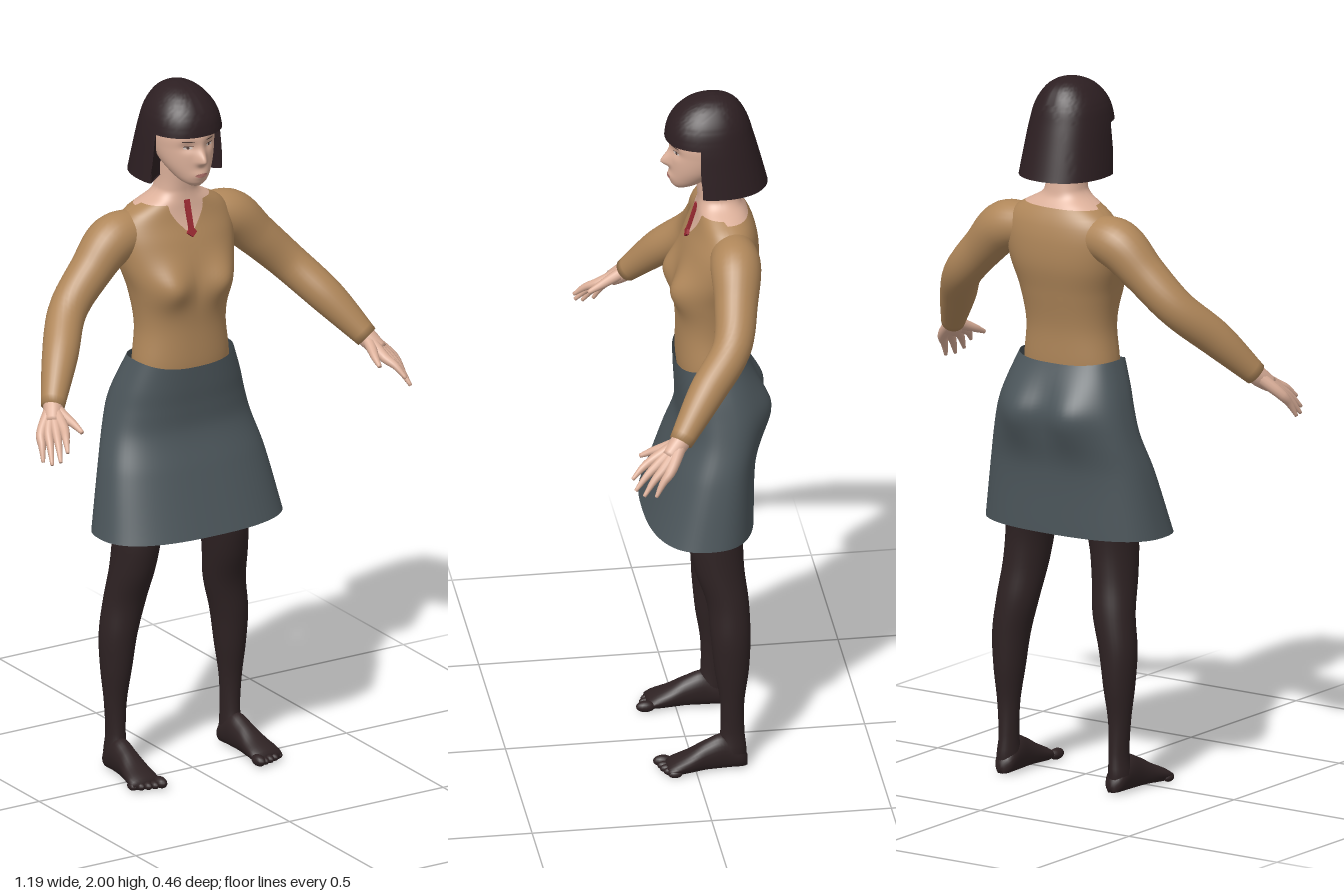
import * as THREE from 'three';
import { toCreasedNormals } from 'three/addons/utils/BufferGeometryUtils.js';

const mat = (name, color, side = THREE.FrontSide) => {
  const m = new THREE.MeshStandardMaterial({ color, side });
  m.name = name;
  return m;
};
const gauss = (d, s) => Math.exp(-(d * d) / (2 * s * s));
const range = (n, f) => Array.from({ length: n }, (_, i) => f(i));

// Smooth interpolation of table rows, keyed by their first column
function sample(rows, k) {
  let i = 0;
  while (i < rows.length - 2 && k > rows[i + 1][0]) i++;
  const a = rows[i], b = rows[i + 1], h = b[0] - a[0];
  const t = THREE.MathUtils.clamp((k - a[0]) / h, 0, 1);
  const p = rows[Math.max(i - 1, 0)], q = rows[Math.min(i + 2, rows.length - 1)];
  const t2 = t * t, t3 = t2 * t;
  return a.map((v, c) => {
    const m0 = (b[c] - p[c]) / (b[0] - p[0]) * h, m1 = (q[c] - v) / (q[0] - a[0]) * h;
    return (2 * t3 - 3 * t2 + 1) * v + (t3 - 2 * t2 + t) * m0 + (3 * t2 - 2 * t3) * b[c] + (t3 - t2) * m1;
  });
}

// Skin a list of closed rings (arrays of Vector3)
function loft(rings, caps = true) {
  const n = rings[0].length, pos = [], idx = [];
  rings.flat().forEach(p => pos.push(p.x, p.y, p.z));
  for (let i = 0; i < rings.length - 1; i++) for (let j = 0; j < n; j++) {
    const a = i * n + j, b = i * n + (j + 1) % n;
    idx.push(a, a + n, b, b, a + n, b + n);
  }
  if (caps) [0, rings.length - 1].forEach((r, end) => {
    const c = rings[r].reduce((s, p) => s.add(p), new THREE.Vector3()).divideScalar(n);
    const k = pos.length / 3;
    pos.push(c.x, c.y, c.z);
    for (let j = 0; j < n; j++) {
      const a = r * n + j, b = r * n + (j + 1) % n;
      idx.push(k, end ? b : a, end ? a : b);
    }
  });
  const g = new THREE.BufferGeometry();
  g.setAttribute('position', new THREE.Float32BufferAttribute(pos, 3));
  g.setIndex(idx);
  g.computeVertexNormals();
  return g;
}

// Point on a body section: row = [y, half width, front z, back z, centre x]
function bodyPoint(rows, y, th, e = 2, bump = null) {
  const [, rx, zf, zb, xc = 0] = sample(rows, y);
  const pw = v => Math.sign(v) * Math.abs(v) ** (2 / e);
  const x = rx * pw(Math.cos(th)), s = Math.sin(th);
  let z = (zf + zb) / 2 + (zf - zb) / 2 * pw(s);
  if (bump) z += bump(x, y, s);
  return new THREE.Vector3(xc + x, y, z);
}
function body(rows, { y0 = () => rows[0][0], y1 = () => rows.at(-1)[0], n = 64, steps = 40, e = 2, bump = null, caps = true } = {}) {
  return loft(range(steps + 1, i => range(n, j => {
    const th = j / n * Math.PI * 2;
    return bodyPoint(rows, THREE.MathUtils.lerp(y0(th), y1(th), i / steps), th, e, bump);
  })), caps);
}

// Round limb through points [x, y, z, radius]
function limb(pts, n = 20, steps = 24) {
  const curve = new THREE.CatmullRomCurve3(pts.map(p => new THREE.Vector3(...p)));
  const tangents = range(steps + 1, i => curve.getTangent(i / steps));
  const side = new THREE.Vector3(0, 0, 1).cross(tangents[0]).normalize();
  return loft(range(steps + 1, i => {
    const t = i / steps, c = curve.getPoint(t), T = tangents[i];
    const N = side.clone().addScaledVector(T, -side.dot(T)).normalize();
    const B = T.clone().cross(N);
    const r = sample(pts.map((p, k) => [k / (pts.length - 1), p[3]]), t)[1];
    return range(n, j => {
      const a = j / n * Math.PI * 2;
      return c.clone().addScaledVector(N, r * Math.cos(a)).addScaledVector(B, -r * Math.sin(a));
    });
  }));
}

const TORSO = [[1.15, .143, .02, -.15], [1.2, .143, .025, -.155], [1.3, .133, .025, -.16], [1.4, .147, .03, -.18],
  [1.48, .170, .02, -.198], [1.55, .178, 0, -.2], [1.6, .168, -.02, -.192], [1.63, .143, -.028, -.18],
  [1.65, .108, -.031, -.168], [1.67, .072, -.034, -.155], [1.69, .057, -.035, -.15], [1.77, .052, -.025, -.14]];
const SKIRT = [[.72, .285, .12, -.18], [.9, .25, .06, -.185], [1.0, .222, .026, -.2], [1.07, .203, .024, -.205],
  [1.13, .185, .028, -.19], [1.215, .153, .032, -.16]];
const LEG = [[.01, .026, -.065, -.138, .187], [.05, .03, -.06, -.143, .188], [.1, .026, -.07, -.138, .186],
  [.2, .031, -.07, -.137, .187], [.3, .043, -.055, -.15, .185], [.4, .053, -.045, -.155, .18], [.5, .06, -.036, -.153, .162],
  [.6, .062, -.004, -.142, .15], [.7, .066, .012, -.142, .14], [.98, .09, .0, -.18, .1]];
const HEAD = [[1.722, .018, .03, -.01], [1.735, .038, .04, -.04], [1.76, .058, .043, -.08], [1.79, .074, .043, -.12],
  [1.83, .084, .042, -.15], [1.87, .086, .042, -.16], [1.93, .07, .015, -.14]];
const HAIR = [[1.73, .125, .05, -.228], [1.8, .118, .055, -.21], [1.88, .108, .056, -.188], [1.93, .094, .042, -.172],
  [1.97, .066, .008, -.148], [1.99, .038, -.03, -.12], [2.0, .004, -.074, -.084]];
const FOOT = [[-.145, .186, .012, .035], [-.13, .186, .028, .06], [-.08, .188, .032, .1], [-.03, .191, .034, .085],
  [.02, .195, .042, .058], [.06, .198, .047, .04], [.08, .199, .042, .028]];

// Surface relief
const bust = (x, y, s) => s > 0 ? .034 * gauss(Math.abs(x) - .085, .04) * gauss(y - 1.43, .04) : 0;
const seat = (x, y, s) => s < 0 ? -.028 * gauss(Math.abs(x) - .085, .05) * gauss(y - 1.06, .06) : 0;
const features = (x, y, s) => s <= 0 ? 0
  : .026 * gauss(x, .010) * gauss(y - 1.8, y > 1.8 ? .02 : .009)
  - .008 * gauss(Math.abs(x) - .034, .014) * gauss(y - 1.84, .011)
  + .006 * gauss(x, .018) * gauss(y - 1.757, .009);
const faceZ = (x, y) => {
  const [, rx, zf, zb] = sample(HEAD, y);
  return (zf + zb) / 2 + (zf - zb) / 2 * Math.sqrt(1 - (x / rx) ** 2) + features(x, y, 1);
};
// Neckline: wide on the shoulders with a narrow notch in front
const neckline = th => 1.652 - (Math.sin(th) > 0 ? .085 * Math.max(0, 1 - Math.abs(Math.cos(th)) / .5) ** 1.4 : .008);

export function createModel() {
  const model = new THREE.Group();
  const M = {
    sweater: mat('sweater tan', 0xb0875a), skirt: mat('skirt grey', 0x4c565b, THREE.DoubleSide),
    tights: mat('tights dark', 0x2e2223), hair: mat('hair dark brown', 0x2d1f22), skin: mat('skin', 0xdcb09a),
    tie: mat('tie red', 0x9c2a33), lips: mat('lips', 0xb87870), white: mat('eye white', 0xd8ccc6), brow: mat('iris and brow', 0x54403a),
  };
  const add = (name, geo, material, parent = model) => {
    const m = new THREE.Mesh(geo, material);
    m.name = name;
    parent.add(m);
    return m;
  };

  // Torso, split along the neckline
  add('sweater', body(TORSO, { y1: neckline, n: 96, e: 2.3, bump: bust, caps: false }), M.sweater);
  add('neck', body(TORSO, { y0: neckline, n: 96, e: 2.3, bump: bust, caps: false }), M.skin);

  // Tie hanging in the notch
  const tieShape = new THREE.Shape([[-.008, .05], [-.007, -.03], [-.015, -.042], [0, -.055], [.015, -.042], [.007, -.03], [.008, .05]]
    .map(p => new THREE.Vector2(...p)).reverse());
  const tie = add('tie', new THREE.ExtrudeGeometry(tieShape, { depth: .008, bevelEnabled: false }), M.tie);
  tie.position.set(0, 1.612, -.021);
  tie.rotation.x = -.3;

  // Skirt and hips
  add('skirt', body(SKIRT, { y1: th => 1.19 + .022 * Math.cos(th) ** 2 + (Math.sin(th) < 0 ? .012 * Math.sin(th) ** 2 : 0),
    e: 2.5, bump: seat, caps: false }), M.skirt);
  add('hips', new THREE.SphereGeometry(1, 32, 16).scale(.16, .13, .085).translate(0, 1.03, -.09), M.tights);

  // Head and face
  add('head', body(HEAD, { n: 128, steps: 80, bump: features }), M.skin);
  const patch = (name, x, y, w, h, material, lift = .0015) => {
    const g = new THREE.CircleGeometry(1, 20).scale(w, h, 1).translate(x, y, 0), p = g.attributes.position;
    for (let i = 0; i < p.count; i++) p.setZ(i, faceZ(p.getX(i), p.getY(i)) + lift);
    g.computeVertexNormals();
    add(name, g, material);
  };
  for (const s of [-1, 1]) {
    patch('eye', s * .034, 1.838, .012, .004, M.white);
    patch('iris', s * .034, 1.838, .004, .004, M.brow, .0025);
    patch('eyelid', s * .034, 1.8425, .014, .0014, M.brow, .0025);
    patch('eyebrow', s * .035, 1.857, .017, .002, M.brow);
  }
  patch('lips', 0, 1.757, .019, .006, M.lips);

  // Bob hair: full crown with a fringe, open in front of the face below it
  const hairRing = (y, open) => range(72, j => {
    const p = bodyPoint(HAIR, y, j / 72 * Math.PI * 2, 2.2);
    if (open) p.z = Math.min(p.z, -.02 - .08 * (1 - (p.x / sample(HAIR, y)[1]) ** 2));
    return p;
  });
  const hair = loft([...range(9, i => hairRing(1.73 + i * .0175, true)), hairRing(1.873, true),
    ...range(25, i => hairRing(1.874 + .126 * Math.sin(i / 24 * Math.PI / 2), false))]);
  add('hair', toCreasedNormals(hair, .8), M.hair);

  // Limbs, mirrored
  for (const s of [1, -1]) {
    const half = new THREE.Group();
    half.name = s > 0 ? 'leftLimbs' : 'rightLimbs';
    half.scale.x = s;
    model.add(half);
    add('sleeve', limb([[.11, 1.57, -.115, .06], [.19, 1.555, -.113, .07], [.27, 1.482, -.102, .06], [.358, 1.393, -.077, .054],
      [.435, 1.3, .005, .05], [.511, 1.193, .088, .033]], 28, 36), M.sweater, half);

    // Hand: overlapping fingers that merge into the palm
    const wrist = [.51, 1.195, .085];
    add('wrist', limb([[.5, 1.21, .073, .028], [.517, 1.182, .1, .027], [.533, 1.16, .125, .022]], 16, 8), M.skin, half);
    const tips = [[.55, 1.108, .228], [.569, 1.082, .222], [.583, 1.07, .2], [.592, 1.07, .168]];
    tips.forEach((tip, i) => {
      const f = i / 3, k = [.523 + .05 * f, 1.152 - .018 * f, .166 - .04 * f];
      const mid = k.map((v, c) => (v + tip[c]) / 2 + (c === 1 ? .006 : 0));
      add('finger', limb([[...wrist, .02], [...k, .0145], [...mid, .0105], [...tip, .005]], 12, 18), M.skin, half);
    });
    add('thumb', limb([[...wrist, .018], [.5, 1.175, .13, .015], [.49, 1.16, .165, .011], [.484, 1.145, .198, .006]], 12, 16), M.skin, half);

    add('leg', body(LEG, { n: 32, steps: 48 }), M.tights, half);
    add('foot', loft(range(25, i => {
      const [z, xc, rx, top] = sample(FOOT, -.145 + .225 * i / 24);
      return range(24, j => {
        const a = j / 24 * Math.PI * 2, v = -Math.sin(a);
        return new THREE.Vector3(xc + rx * Math.cos(a), Math.max(.004, top / 2 + top / 2 * v * (v < 0 ? 1.15 : 1)), z);
      });
    })), M.tights, half);
    for (let i = 0; i < 5; i++) {
      const r = i ? .0115 : .016;
      add('toe', new THREE.SphereGeometry(r, 14, 10).scale(1, 1, 1.7).translate(.16 + .019 * i, r, .086 - .003 * i * i / 2), M.tights, half);
    }
  }
  return model;
}
